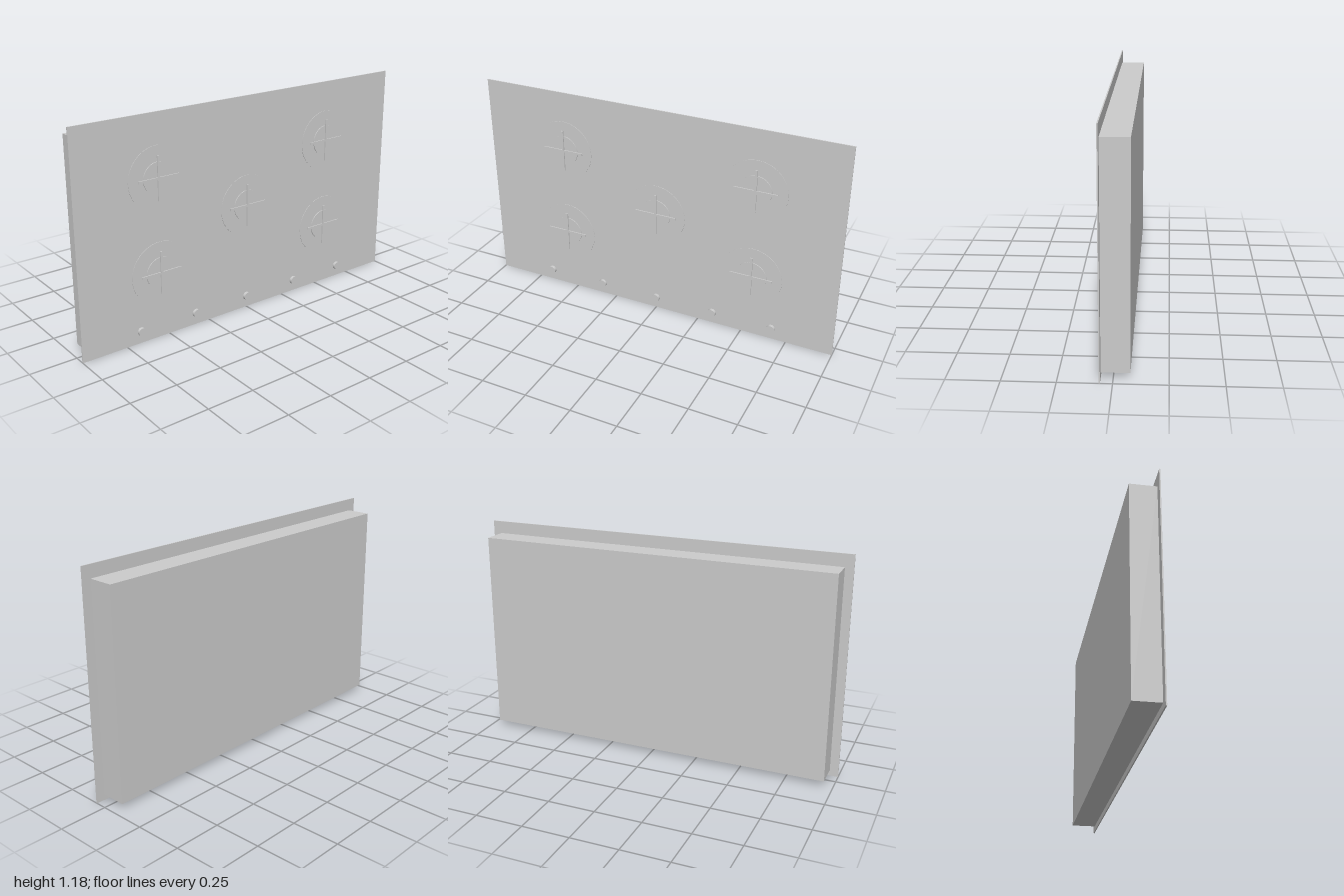
import * as THREE from 'three';

export function createModel() {
  const model = new THREE.Group();
  model.name = 'cooktop';
  const mat = new THREE.MeshStandardMaterial({ color: 0xcccccc });

  // Box given by its centre in x and y, its size, and its z range
  function box(name, parent, x, y, w, h, z0, z1) {
    const m = new THREE.Mesh(new THREE.BoxGeometry(w, h, z1 - z0), mat);
    m.position.set(x, y, (z0 + z1) / 2);
    m.name = name;
    parent.add(m);
  }

  // Round disc facing +z, with optional taper towards the front
  function disc(name, parent, x, y, rBack, rFront, z0, z1) {
    const g = new THREE.CylinderGeometry(rFront, rBack, z1 - z0, 40);
    g.rotateX(Math.PI / 2);
    const m = new THREE.Mesh(g, mat);
    m.position.set(x, y, (z0 + z1) / 2);
    m.name = name;
    parent.add(m);
  }

  // Housing behind the wider top plate
  box('housing', model, 0, 0.57, 1.91, 1.08, -0.077, 0.056);
  box('topPlate', model, 0, 0.588, 2, 1.176, 0.056, 0.062);

  // Burners: low base disc, raised cap and a crossed grate
  const burners = [[-0.543, 0.85], [0.543, 0.85], [0, 0.591], [-0.543, 0.355], [0.543, 0.355]];
  for (const [x, y] of burners) {
    const burner = new THREE.Group();
    burner.name = 'burner';
    burner.position.set(x, y, 0);
    disc('burnerBase', burner, 0, 0, 0.165, 0.165, 0.061, 0.0645);
    disc('burnerCap', burner, 0, 0, 0.083, 0.083, 0.064, 0.069);
    box('grateBarAcross', burner, 0, 0, 0.23, 0.012, 0.071, 0.077);
    box('grateBarUpright', burner, 0, 0, 0.012, 0.23, 0.071, 0.0775);
    model.add(burner);
  }

  // Row of control knobs along the front edge
  for (let i = -2; i <= 2; i++) {
    disc('knob', model, i * 0.3335, 0.065, 0.022, 0.022, 0.061, 0.0775);
  }
  return model;
}
